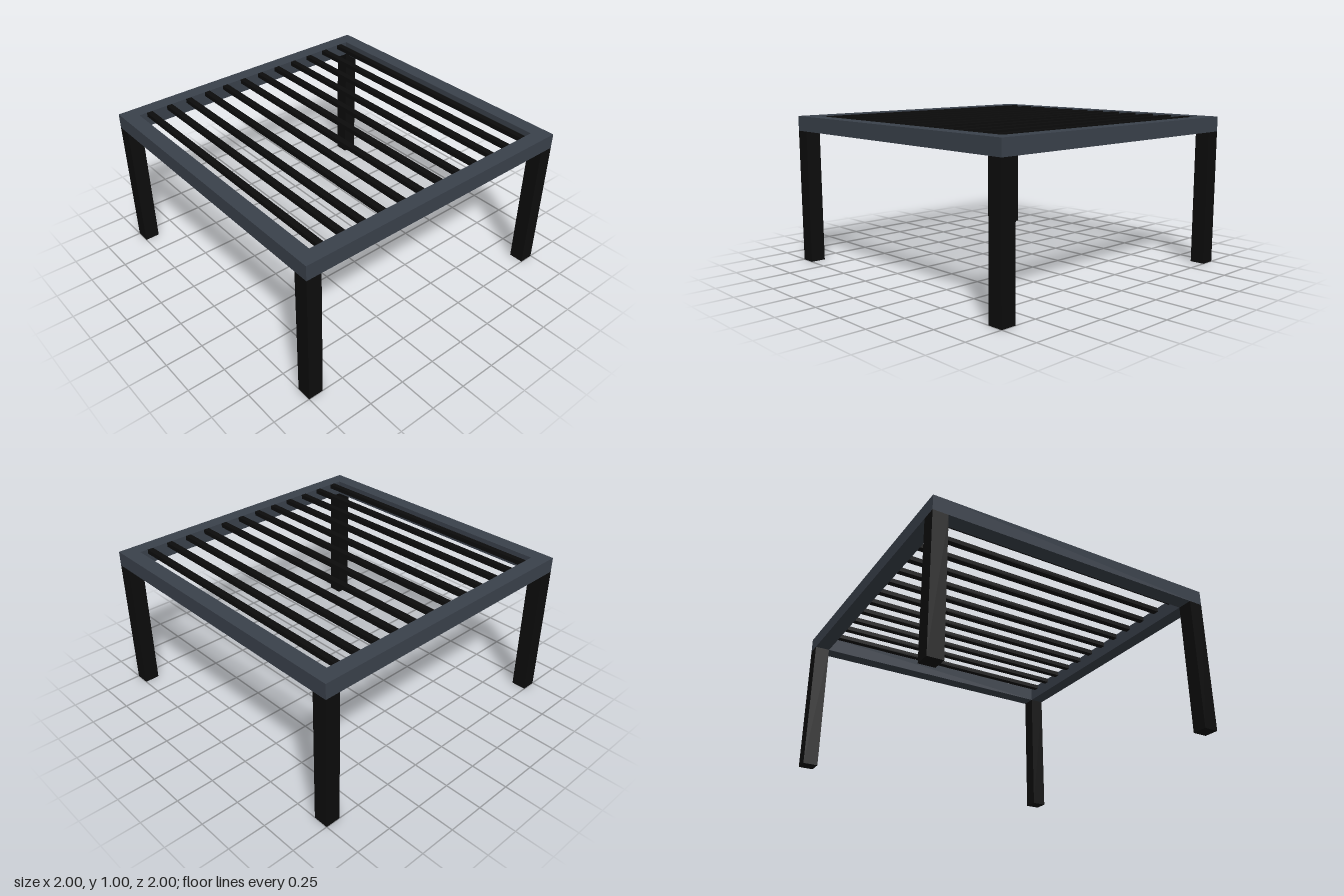
import * as THREE from 'three';

const frameGrey = new THREE.MeshStandardMaterial({ color: 0x3a414b });
frameGrey.name = 'slate grey';
const black = new THREE.MeshStandardMaterial({ color: 0x0c0c0c });
black.name = 'black';

const BEAM = 0.1;      // width of the frame beams and legs
const INNER = 1 - BEAM; // half width of the opening

function box(name, size, position, material) {
  const mesh = new THREE.Mesh(new THREE.BoxGeometry(...size), material);
  mesh.name = name;
  mesh.position.set(...position);
  return mesh;
}

export function createModel() {
  const model = new THREE.Group();
  model.name = 'pergola';

  // Top frame: one square ring with an opening
  const ring = new THREE.Shape([[-1, -1], [1, -1], [1, 1], [-1, 1]].map(p => new THREE.Vector2(...p)));
  ring.holes.push(new THREE.Path(
    [[-1, -1], [-1, 1], [1, 1], [1, -1]].map(([x, y]) => new THREE.Vector2(x * INNER, y * INNER))));
  const frameGeometry = new THREE.ExtrudeGeometry(ring, { depth: BEAM, bevelEnabled: false });
  frameGeometry.rotateX(-Math.PI / 2);
  const frame = new THREE.Mesh(frameGeometry, frameGrey);
  frame.name = 'topFrame';
  frame.position.y = 0.9;
  model.add(frame);

  // Corner legs
  for (const x of [-0.95, 0.95]) {
    for (const z of [-0.95, 0.95]) {
      const name = (z > 0 ? 'front' : 'back') + (x > 0 ? 'Left' : 'Right') + 'Leg';
      model.add(box(name, [BEAM, 0.9, BEAM], [x, 0.45, z], black));
    }
  }

  // Roof slats spanning the opening from side to side
  const slats = new THREE.Group();
  slats.name = 'roofSlats';
  for (let i = 0; i < 12; i++) {
    slats.add(box('slat', [2 * INNER, 0.03, 0.04], [0, 0.985, -0.825 + 0.15 * i], black));
  }
  model.add(slats);

  return model;
}
